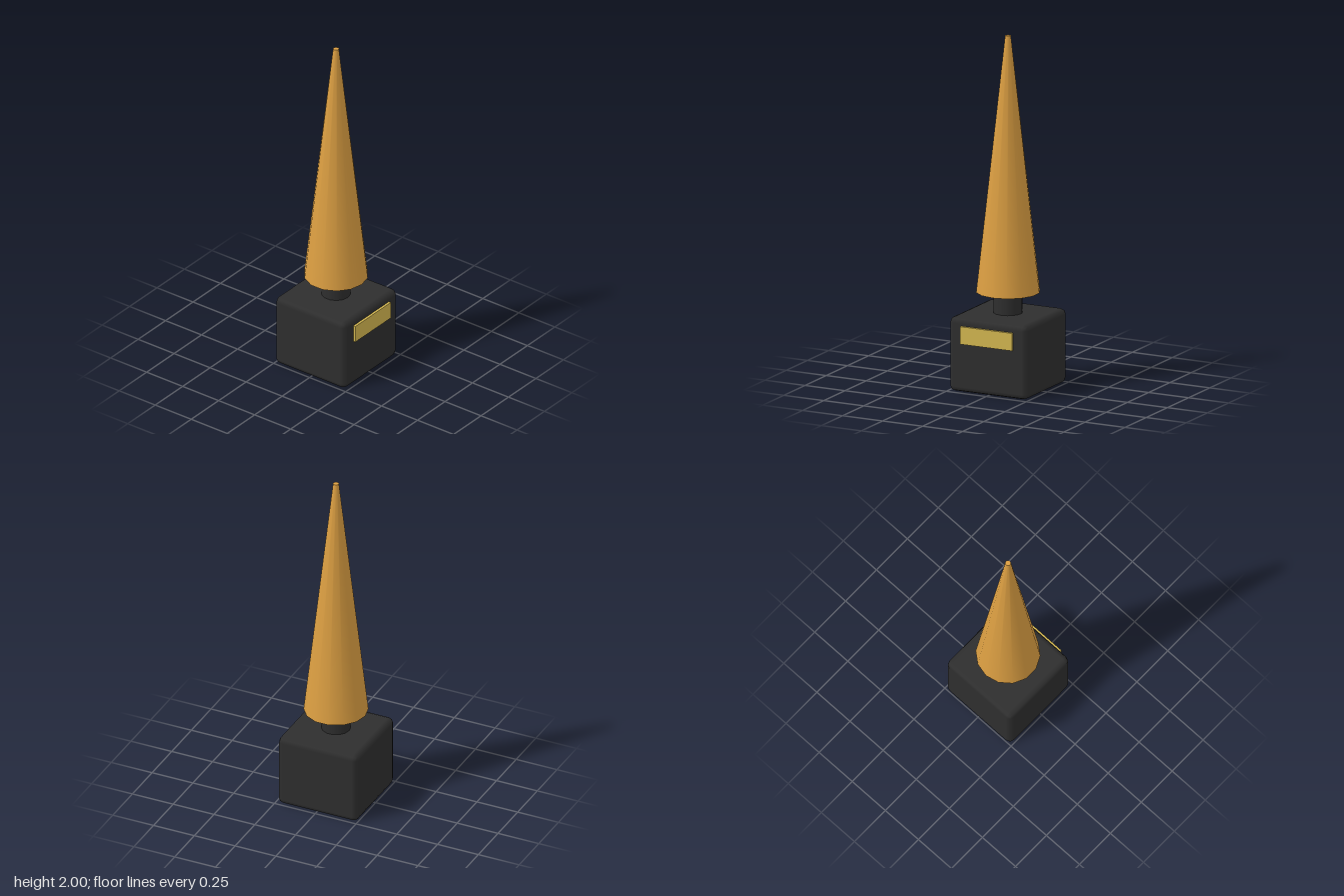
import * as THREE from 'three';
import { RoundedBoxGeometry } from 'three/addons/geometries/RoundedBoxGeometry.js';

const material = (name, color) => {
  const m = new THREE.MeshStandardMaterial({ color });
  m.name = name;
  return m;
};

export function createModel() {
  const black = material('charcoal black', 0x2e2e2e);
  const amber = material('amber gold', 0xdc9f42);
  const brass = material('pale brass', 0xd2b650);

  const model = new THREE.Group();
  model.name = 'trophy';
  const axisZ = -0.007; // trophy axis; the plaque fills the remaining depth

  const add = (name, geometry, mat, y, z = axisZ) => {
    const mesh = new THREE.Mesh(geometry, mat);
    mesh.name = name;
    mesh.position.set(0, y, z);
    model.add(mesh);
  };
  // Upright cylinder or cone spanning y0..y1
  const turned = (name, rTop, rBottom, y0, y1, sides, mat) =>
    add(name, new THREE.CylinderGeometry(rTop, rBottom, y1 - y0, sides), mat, (y0 + y1) / 2);

  // Plinth with softened edges
  add('plinth', new RoundedBoxGeometry(0.488, 0.423, 0.488, 1, 0.031), black, 0.2115);

  // Name plate on the front of the plinth
  add('plaque', new THREE.BoxGeometry(0.324, 0.1, 0.024), brass, 0.329, 0.239);

  // Neck, collar and tapering spire
  turned('neck', 0.081, 0.081, 0.41, 0.535, 14, black);
  turned('collar', 0.098, 0.098, 0.533, 0.555, 14, brass);
  turned('spire', 0.016, 0.179, 0.543, 2, 14, amber);

  return model;
}
